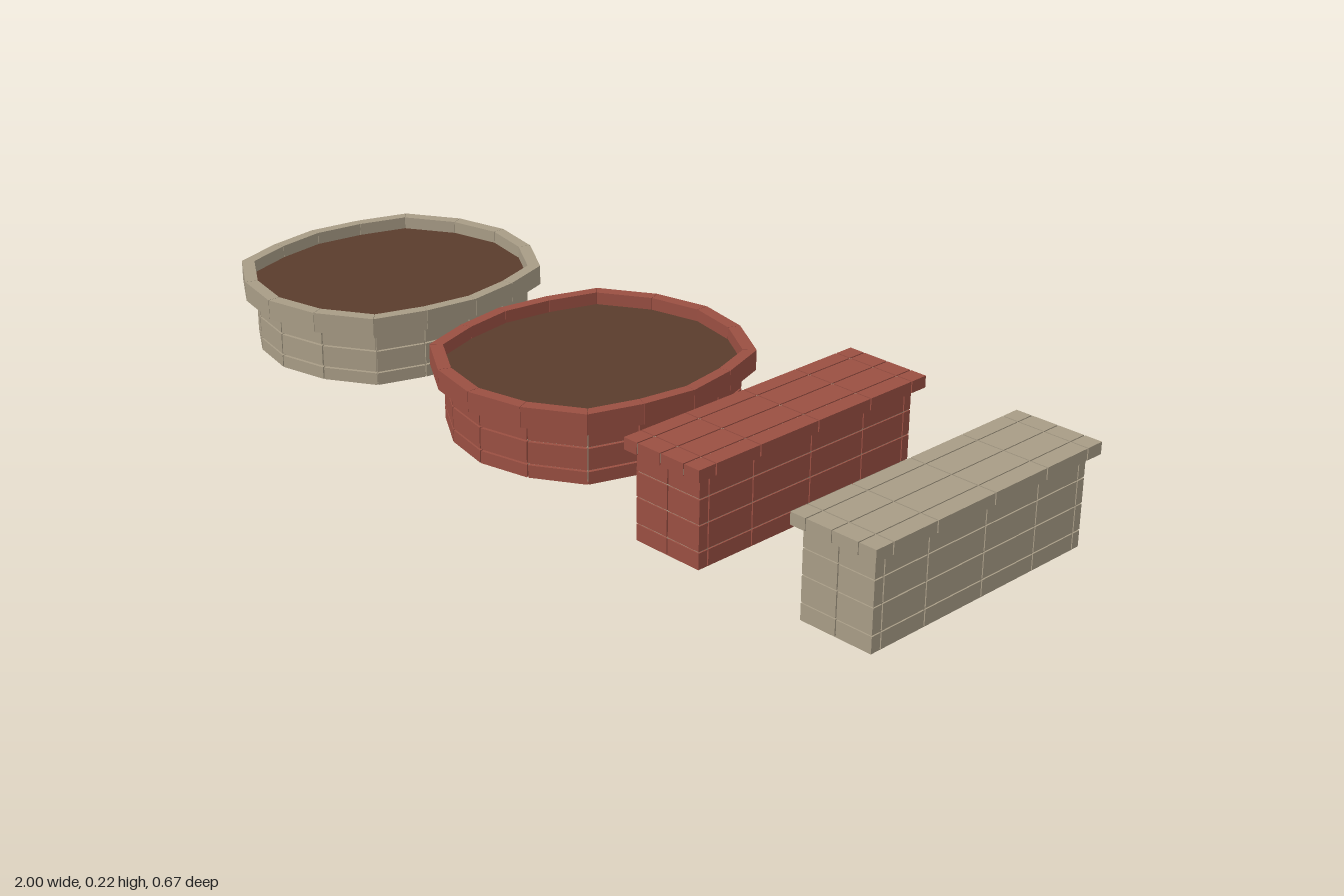
import * as THREE from 'three';
import { mergeGeometries } from 'three/addons/utils/BufferGeometryUtils.js';

const flat = (name, color) => {
  const m = new THREE.MeshStandardMaterial({ color });
  m.name = name;
  return m;
};
const stone = flat('tan stone', 0xa89c86);
const brick = flat('red brick', 0x9a4f42);
const soil = flat('soil', 0x5a3c2c);

// One quarter of the planter outline, mirrored into a closed ring of 16 points
const quarter = [[0.297, 0], [0.278, 0.12], [0.24, 0.235], [0.125, 0.306]];
const ring = [
  ...quarter,
  [0, 0.333],
  ...quarter.slice(1).reverse().map(([x, z]) => [-x, z]),
  ...quarter.map(([x, z]) => [-x, -z]),
  [0, -0.333],
  ...quarter.slice(1).reverse().map(([x, z]) => [x, -z]),
];
const scaled = (s) => ring.map(([x, z]) => new THREE.Vector2(x * s, z * s));

// Upright prism over a floor plan of (x, z) points
function prism(points, y0, y1) {
  const shape = new THREE.Shape(points.map((p) => new THREE.Vector2(p.x, -p.y)));
  const g = new THREE.ExtrudeGeometry(shape, { depth: y1 - y0, bevelEnabled: false });
  return g.rotateX(-Math.PI / 2).translate(0, y0, 0);
}

function add(group, name, geometry, material) {
  const mesh = new THREE.Mesh(geometry, material);
  mesh.name = name;
  group.add(mesh);
}

// Ring of blocks with a narrow joint at every corner
function course(inner, outer, y0, y1, gap) {
  const a = scaled(inner), b = scaled(outer);
  return a.map((_, i) => {
    const j = (i + 1) % a.length;
    const t = gap / 2 / b[i].distanceTo(b[j]);
    const at = (p, k) => p[i].clone().lerp(p[j], k);
    return prism([at(a, t), at(b, t), at(b, 1 - t), at(a, 1 - t)], y0, y1);
  });
}

function planter(name, x, material) {
  const g = new THREE.Group();
  g.name = name;
  const blocks = [prism(scaled(0.9), 0.013, 0.016)];
  const levels = [0.013, 0.044, 0.094, 0.134];
  for (let i = 0; i < 3; i++)
    blocks.push(...course(0.84, 0.914, levels[i], levels[i + 1] - 0.004, 0.003));
  add(g, 'wallBlocks', mergeGeometries(blocks), material);
  add(g, 'mortarCore', prism(scaled(0.89), 0.016, 0.14), stone);
  add(g, 'rimBlocks', mergeGeometries(course(0.916, 1, 0.133, 0.177, 0.001)), material);
  add(g, 'rimBase', prism(scaled(0.93), 0.134, 0.142), material);
  add(g, 'soilBed', prism(scaled(0.918), 0.142, 0.15), soil);
  g.position.x = x;
  return g;
}

// Grid of blocks filling a box, with joints between the given cuts
function blockGrid(xs, ys, zs, gap) {
  const out = [];
  const span = (c, i) => {
    const lo = c[i] + (i > 0 ? gap / 2 : 0);
    const hi = c[i + 1] - (i < c.length - 2 ? gap / 2 : 0);
    return [hi - lo, (hi + lo) / 2];
  };
  for (let i = 0; i < xs.length - 1; i++)
    for (let j = 0; j < ys.length - 1; j++)
      for (let k = 0; k < zs.length - 1; k++) {
        const [w, x] = span(xs, i), [h, y] = span(ys, j), [d, z] = span(zs, k);
        out.push(new THREE.BoxGeometry(w, h, d).translate(x, y, z));
      }
  return mergeGeometries(out);
}

function bench(name, x, material) {
  const g = new THREE.Group();
  g.name = name;
  const cuts = [-0.272, -0.152, -0.005, 0.152, 0.268];
  add(g, 'bodyBlocks', blockGrid([-0.082, 0, 0.082], [0.002, 0.037, 0.092, 0.145, 0.191],
    [-0.292, ...cuts, 0.292], 0.003), material);
  add(g, 'bodyMortar', new THREE.BoxGeometry(0.158, 0.184, 0.578).translate(0, 0.098, 0), stone);
  add(g, 'footPlate', new THREE.BoxGeometry(0.16, 0.003, 0.58).translate(0, 0.0015, 0), material);
  add(g, 'capSlabs', blockGrid([-0.096, -0.06, 0, 0.06, 0.099], [0.191, 0.216],
    [-0.314, ...cuts, 0.312], 0.003), material);
  add(g, 'capMortar', new THREE.BoxGeometry(0.19, 0.021, 0.62).translate(0.001, 0.2035, 0), stone);
  g.position.x = x;
  return g;
}

export function createModel() {
  const model = new THREE.Group();
  model.name = 'gardenPlantersAndBenches';
  model.add(
    planter('stonePlanter', -0.703, stone),
    planter('brickPlanter', -0.036, brick),
    bench('brickBench', 0.483, brick),
    bench('stoneBench', 0.899, stone),
  );
  return model;
}
